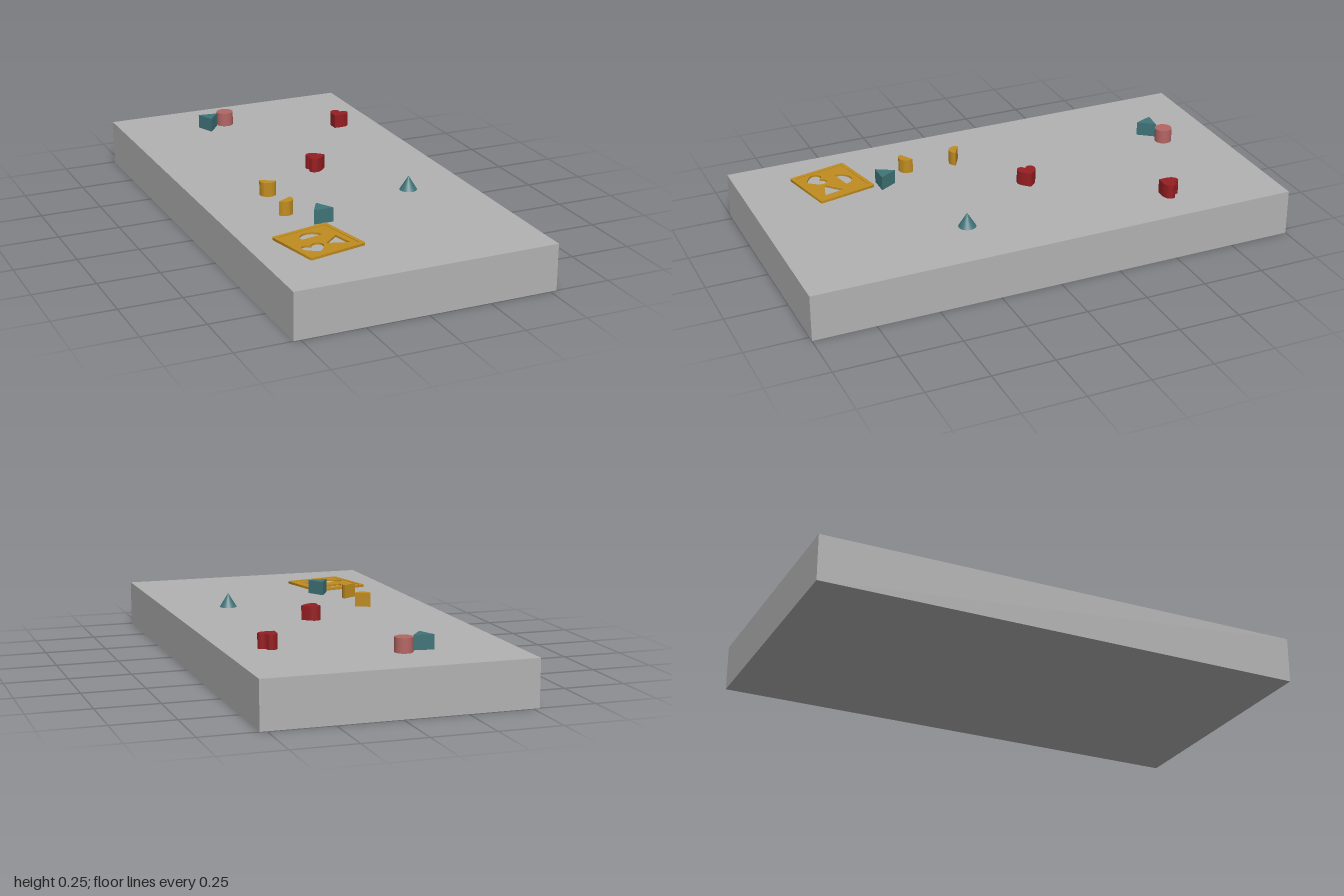
import * as THREE from 'three';
import { toCreasedNormals } from 'three/addons/utils/BufferGeometryUtils.js';

const FLOOR = 0.19; // underside of the loose pieces
const TALL = 0.057; // height of the loose pieces
const rad = THREE.MathUtils.degToRad;

// Outlines are drawn with shape y pointing to -z.
function polygon(points, C = THREE.Shape) {
  return new C(points.map(([x, y]) => new THREE.Vector2(x, y)));
}

function square(half, r, C = THREE.Shape) {
  const s = new C();
  const k = half - r;
  s.absarc(k, k, r, 0, Math.PI / 2);
  s.absarc(-k, k, r, Math.PI / 2, Math.PI);
  s.absarc(-k, -k, r, Math.PI, Math.PI * 1.5);
  s.absarc(k, -k, r, Math.PI * 1.5, Math.PI * 2);
  s.closePath();
  return s;
}

function halfDisc(r, x = 0, y = 0, C = THREE.Shape) {
  const s = new C();
  s.absarc(x, y, r, 0, Math.PI);
  s.closePath();
  return s;
}

// Heart of the given width and height, tip towards -y
function heart(w, h, x = 0, y = 0, C = THREE.Shape) {
  const s = new C();
  const a = w / 2, b = h / 2;
  s.moveTo(x, y - b);
  s.bezierCurveTo(x + a * 0.5, y - b * 0.55, x + a, y - b * 0.1, x + a, y + b * 0.4);
  s.bezierCurveTo(x + a, y + b * 1.2, x + a * 0.15, y + b * 1.2, x, y + b * 0.58);
  s.bezierCurveTo(x - a * 0.15, y + b * 1.2, x - a, y + b * 1.2, x - a, y + b * 0.4);
  s.bezierCurveTo(x - a, y - b * 0.1, x - a * 0.5, y - b * 0.55, x, y - b);
  return s;
}

function slab(shape, height) {
  const g = new THREE.ExtrudeGeometry(shape, { depth: height, bevelEnabled: false, curveSegments: 14 });
  g.rotateX(-Math.PI / 2);
  return toCreasedNormals(g, rad(35));
}

export function createModel() {
  const model = new THREE.Group();
  const mat = (name, color) => {
    const m = new THREE.MeshStandardMaterial({ color });
    m.name = name;
    return m;
  };
  const grey = mat('grey', 0xb2b2b2);
  const gold = mat('gold', 0xc08c20);
  const teal = mat('teal', 0x3f7479);
  const red = mat('red', 0x961e22);
  const pink = mat('pink', 0xb46664);

  const add = (name, geometry, material, x, y, z, turn = 0, parent = model) => {
    const mesh = new THREE.Mesh(geometry, material);
    mesh.name = name;
    mesh.position.set(x, y, z);
    mesh.rotation.y = rad(turn);
    parent.add(mesh);
    return mesh;
  };

  // Table top
  add('tableTop', new THREE.BoxGeometry(1.054, 0.186, 2), grey, 0, 0.093, 0);

  // Sorting plate with three cut-outs and a raised rim
  const plate = new THREE.Group();
  plate.name = 'sortingPlate';
  plate.position.set(-0.271, 0.19, 0.639);
  plate.rotation.y = rad(12.3);
  model.add(plate);
  const board = square(0.123, 0.008);
  board.holes.push(
    halfDisc(0.046, 0, 0.039, THREE.Path),
    polygon([[0.007, -0.038], [0.081, 0.005], [0.083, -0.082]], THREE.Path),
    heart(0.091, 0.074, -0.052, -0.049, THREE.Path)
  );
  add('plateBoard', slab(board, 0.008), gold, 0, 0, 0, 0, plate);
  const rim = square(0.123, 0.008);
  rim.holes.push(square(0.107, 0.004, THREE.Path));
  add('plateRim', slab(rim, 0.002), gold, 0, 0.008, 0, 0, plate);

  // Half-round blocks
  const half = slab(halfDisc(0.033), TALL);
  add('halfRoundBlockBack', half, gold, -0.25, FLOOR, 0.107, 150);
  add('halfRoundBlockFront', half, gold, -0.27, FLOOR, 0.32, -150);

  // Triangular blocks
  const prism = slab(polygon([[-0.04, -0.034], [0.04, -0.034], [0, 0.036]]), TALL);
  add('triangleBlockFront', prism, teal, -0.177, FLOOR, 0.441);
  add('triangleBlockBack', prism, teal, -0.176, FLOOR, -0.726, 172.5);

  // Heart blocks
  const heartBlock = slab(heart(0.076, 0.072), TALL);
  add('heartBlockMiddle', heartBlock, red, 0.041, FLOOR, -0.079, 90);
  add('heartBlockBack', heartBlock, red, 0.352, FLOOR, -0.545, -45);

  // Cylinder and cone
  add('cylinderBlock', new THREE.CylinderGeometry(0.035, 0.035, TALL, 32), pink, -0.09, FLOOR + TALL / 2, -0.767);
  add('coneBlock', new THREE.ConeGeometry(0.035, TALL, 32), teal, 0.276, FLOOR + TALL / 2, 0.283);

  return model;
}
